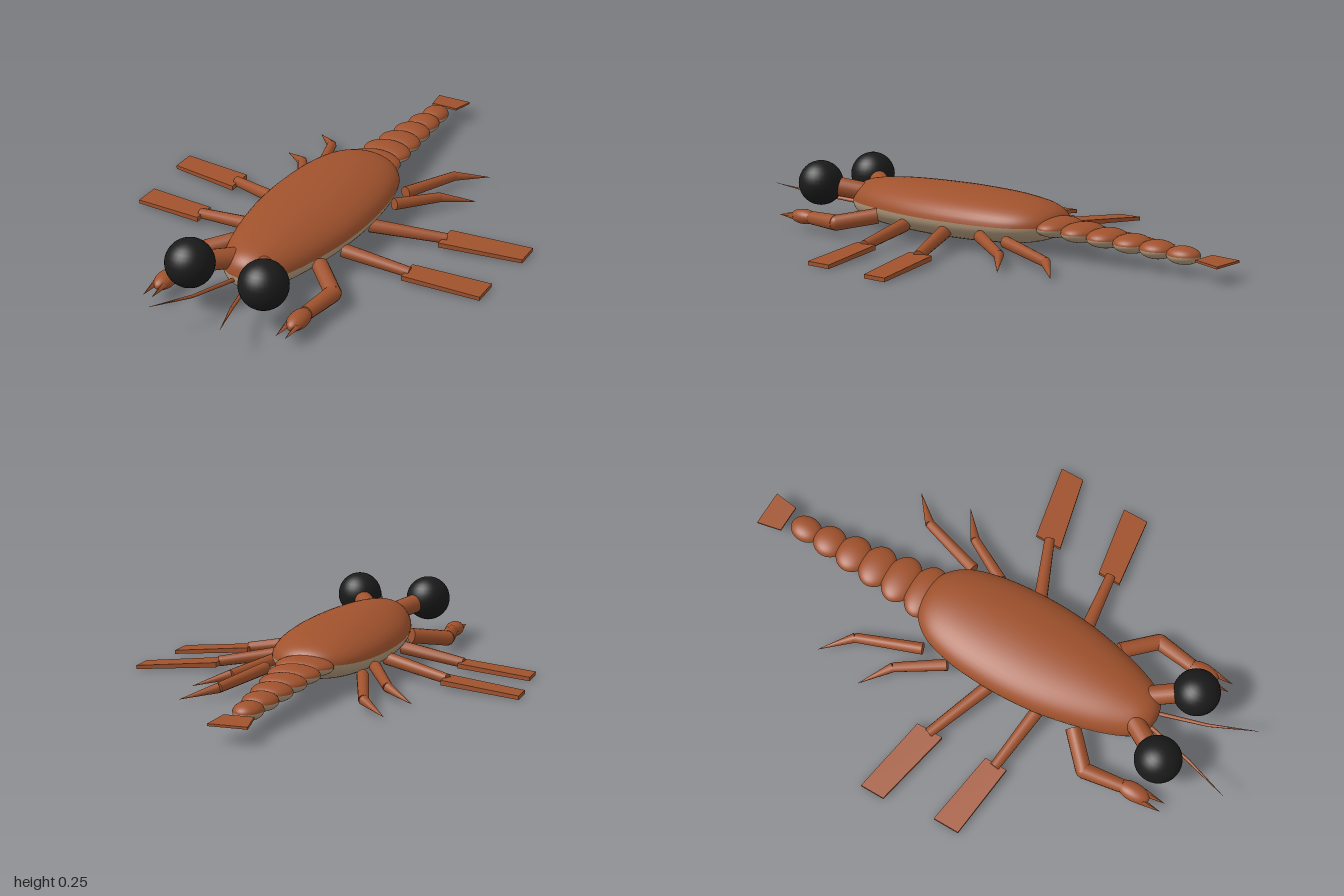
import * as THREE from 'three';

const shell = new THREE.MeshStandardMaterial({ color: 0xa0522d });
shell.name = 'russet shell';
const belly = new THREE.MeshStandardMaterial({ color: 0xb39a7c });
belly.name = 'tan belly';
const black = new THREE.MeshStandardMaterial({ color: 0x1a1a1a });
black.name = 'eye black';

const V = (p) => new THREE.Vector3(...p);

function add(parent, name, geometry, material) {
  const mesh = new THREE.Mesh(geometry, material);
  mesh.name = name;
  parent.add(mesh);
  return mesh;
}

// Round limb section from a to b, tapering from r0 to r1
function rod(parent, name, a, b, r0, r1, sides = 12) {
  const from = V(a), to = V(b), dir = to.clone().sub(from);
  const mesh = add(parent, name, new THREE.CylinderGeometry(r1, r0, dir.length(), sides), shell);
  mesh.position.copy(from).add(to).multiplyScalar(0.5);
  mesh.quaternion.setFromUnitVectors(new THREE.Vector3(0, 1, 0), dir.normalize());
  return mesh;
}

function ball(parent, name, centre, size, material, thetaStart = 0, thetaLength = Math.PI) {
  const mesh = add(parent, name,
    new THREE.SphereGeometry(1, 32, 16, 0, Math.PI * 2, thetaStart, thetaLength), material);
  mesh.position.set(...centre);
  mesh.scale.set(...size);
  return mesh;
}

// Half-elliptical loft along z; rows are [half width, height from seam, z]
function halfLoft(rows, startAngle, seamY) {
  const rings = new THREE.CatmullRomCurve3(rows.map(V)).getPoints(48);
  const n = 24, pos = [], index = [];
  rings.forEach((r, i) => {
    for (let j = 0; j <= n; j++) {
      const a = startAngle + (j / n) * Math.PI;
      pos.push(Math.max(r.x, 0) * Math.cos(a), seamY + Math.max(r.y, 0) * Math.sin(a), r.z);
      if (i < rings.length - 1 && j < n) {
        const k = i * (n + 1) + j, m = k + n + 1;
        index.push(k, k + 1, m, k + 1, m + 1, m);
      }
    }
  });
  const g = new THREE.BufferGeometry();
  g.setAttribute('position', new THREE.Float32BufferAttribute(pos, 3));
  g.setIndex(index);
  g.computeVertexNormals();
  return g;
}

// Thin plate whose eight box corners are moved by a rule of (u, v, w) in -1..1
function plate(parent, name, rule) {
  const g = new THREE.BoxGeometry(2, 2, 2);
  const p = g.attributes.position;
  for (let i = 0; i < p.count; i++) p.setXYZ(i, ...rule(p.getX(i), p.getY(i), p.getZ(i)));
  g.computeVertexNormals();
  return add(parent, name, g, shell);
}

// Limbs and head parts of the +x side
function buildSide() {
  const side = new THREE.Group();

  // Eye on a short stalk
  rod(side, 'eyeStalk', [0.05, 0.135, 0.58], [0.14, 0.165, 0.72], 0.036, 0.036, 20);
  ball(side, 'eye', [0.142, 0.167, 0.73], [0.085, 0.085, 0.085], black);

  // Antenna
  rod(side, 'antennaBase', [0.025, 0.086, 0.63], [0.075, 0.106, 0.82], 0.008, 0.006, 8);
  rod(side, 'antennaTip', [0.075, 0.106, 0.82], [0.135, 0.138, 0.985], 0.006, 0.0005, 8);

  // Clawed arm
  rod(side, 'upperArm', [0.17, 0.08, 0.41], [0.28, 0.057, 0.515], 0.029, 0.029);
  ball(side, 'elbow', [0.28, 0.057, 0.515], [0.028, 0.028, 0.028], shell);
  rod(side, 'forearm', [0.28, 0.057, 0.515], [0.26, 0.055, 0.66], 0.03, 0.025);
  ball(side, 'hand', [0.258, 0.055, 0.705], [0.034, 0.028, 0.062], shell);
  for (const dx of [-0.017, 0.017])
    rod(side, 'clawFinger', [0.258 + dx, 0.055, 0.735], [0.256 + dx, 0.052, 0.82], 0.015, 0.0005, 4);

  // Swimming legs: root, paddle inner and outer x, then z ranges of its two ends
  const paddles = [
    { root: [0.18, 0.065, 0.265], inner: 0.412, outer: 0.69, zi: [0.19, 0.277], zo: [0.143, 0.242] },
    { root: [0.18, 0.065, 0.07], inner: 0.425, outer: 0.718, zi: [-0.085, 0.018], zo: [-0.142, -0.05] },
  ];
  for (const { root, inner, outer, zi, zo } of paddles) {
    rod(side, 'swimmingLeg', root, [inner + 0.01, 0.03, (zi[0] + zi[1]) / 2], 0.025, 0.019);
    plate(side, 'paddle', (u, v, w) => {
      const z = u > 0 ? zo : zi;
      return [u > 0 ? outer : inner, (u > 0 ? 0.009 : 0.027) + v * (u > 0 ? 0.007 : 0.009),
        w > 0 ? z[1] : z[0]];
    });
  }

  // Pointed walking legs: hip, knee, tip
  const walkers = [
    [[0.19, 0.07, -0.1], [0.29, 0.042, -0.27], [0.4, 0.012, -0.355]],
    [[0.18, 0.062, -0.21], [0.262, 0.037, -0.45], [0.363, 0.012, -0.55]],
  ];
  for (const [hip, knee, tip] of walkers) {
    rod(side, 'walkingLeg', hip, knee, 0.022, 0.018);
    rod(side, 'walkingLegTip', knee, tip, 0.018, 0.0005);
  }
  return side;
}

export function createModel() {
  const model = new THREE.Group();
  model.name = 'crustacean';

  // Body: russet back over a tan belly
  const seamY = 0.105;
  const outline = [
    [0, 0, -0.31], [0.09, 0.045, -0.285], [0.15, 0.073, -0.22], [0.188, 0.09, -0.1],
    [0.204, 0.099, 0.08], [0.196, 0.1, 0.25], [0.169, 0.097, 0.4], [0.135, 0.088, 0.52],
    [0.095, 0.072, 0.605], [0.055, 0.045, 0.64], [0, 0, 0.653],
  ];
  add(model, 'back', halfLoft(outline, 0, seamY), shell);
  add(model, 'underside',
    halfLoft(outline.map(([w, h, z]) => [w, h * 0.9, z]), Math.PI, seamY), belly);

  // Tail: shrinking beads, tan below
  for (let i = 0; i < 6; i++) {
    const t = i / 5;
    const centre = [0, 0.102 - 0.033 * t, -0.305 - 0.52 * t];
    const size = [0.105 - 0.055 * t, 0.036 - 0.005 * t, 0.07 - 0.009 * t];
    ball(model, 'tailSegmentTop', centre, size, shell, 0, Math.PI / 2);
    ball(model, 'tailSegmentUnderside', centre, size, belly, Math.PI / 2, Math.PI / 2);
  }

  // Tail fan
  plate(model, 'tailFan', (u, v, w) => [u * (w > 0 ? 0.052 : 0.068),
    (w > 0 ? 0.068 : 0.06) + v * 0.004, w > 0 ? -0.905 : -1]);

  // Mirrored limbs
  const left = buildSide();
  left.name = 'leftLimbs';
  const right = buildSide();
  right.name = 'rightLimbs';
  right.scale.x = -1;
  model.add(left, right);
  return model;
}
